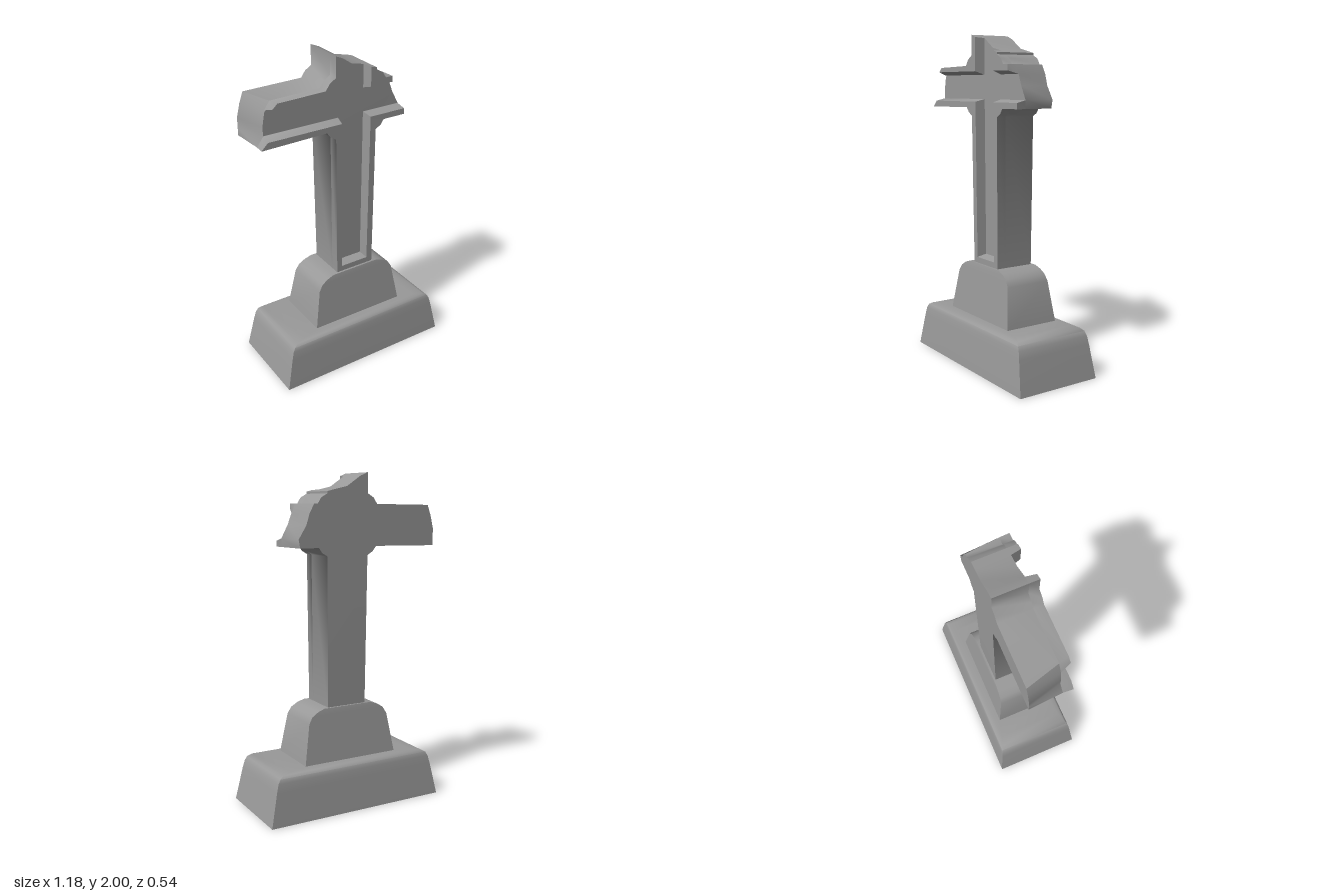
import * as THREE from 'three';
import { toCreasedNormals } from 'three/addons/utils/BufferGeometryUtils.js';

const material = new THREE.MeshStandardMaterial({ color: 0x999999 });

// Skin a stack of equal-length rings of Vector3 and close both ends.
// Rings run counter-clockwise when looked at from the last ring's end.
function loft(name, rings, flatten) {
  const n = rings[0].length, pos = [], index = [];
  rings.forEach(r => r.forEach(p => pos.push(p.x, p.y, p.z)));
  for (let k = 0; k < rings.length - 1; k++) {
    for (let i = 0; i < n; i++) {
      const a = k * n + i, b = k * n + (i + 1) % n;
      index.push(a, b, b + n, a, b + n, a + n);
    }
  }
  const cap = (ring, start, flip) => {
    for (const [a, b, c] of THREE.ShapeUtils.triangulateShape(ring.map(flatten), [])) {
      index.push(start + a, start + (flip ? c : b), start + (flip ? b : c));
    }
  };
  cap(rings[0], 0, true);
  cap(rings[rings.length - 1], (rings.length - 1) * n, false);
  const geo = new THREE.BufferGeometry();
  geo.setAttribute('position', new THREE.Float32BufferAttribute(pos, 3));
  geo.setIndex(index);
  const mesh = new THREE.Mesh(toCreasedNormals(geo, 1.05), material);
  mesh.name = name;
  return mesh;
}

// Tapered stone block from rectangular sections [y, xMin, xMax, zHalf]
function block(name, sections) {
  const rings = sections.map(([y, x0, x1, z]) =>
    [[x0, z], [x1, z], [x1, -z], [x0, -z]].map(([x, zz]) => new THREE.Vector3(x, y, zz)));
  return loft(name, rings, p => new THREE.Vector2(p.x, -p.z));
}

// Slab of the cross from outline points [x, y, dx, dy]; dx, dy move the front edge.
// The shaft gets a little thinner toward its foot.
function slab(name, points, zBack, zFront) {
  const depth = y => 0.94 + 0.06 * Math.min(1, Math.max(0, (y - 0.62) / 0.9));
  const ring = (z, t) => points.map(([x, y, dx = 0, dy = 0]) =>
    new THREE.Vector3(x + dx * t, y + dy * t, z * depth(y)));
  return loft(name, [ring(zBack, 0), ring(zFront, 1)], p => new THREE.Vector2(p.x, p.y));
}

export function createModel() {
  const model = new THREE.Group();
  model.name = 'brokenStoneCross';

  // Stepped plinth with rounded shoulders
  model.add(block('lowerBase', [
    [0, -0.56, 0.59, 0.272], [0.2, -0.518, 0.548, 0.252], [0.25, -0.505, 0.535, 0.246],
    [0.275, -0.49, 0.52, 0.24], [0.289, -0.465, 0.495, 0.228], [0.296, -0.4, 0.43, 0.205],
    [0.298, -0.3, 0.33, 0.18],
  ]));
  model.add(block('upperBase', [
    [0.29, -0.296, 0.326, 0.175], [0.54, -0.254, 0.284, 0.146], [0.58, -0.23, 0.26, 0.141],
    [0.605, -0.19, 0.22, 0.138], [0.62, -0.145, 0.175, 0.135],
  ]));

  const cross = new THREE.Group();
  cross.name = 'cross';
  model.add(cross);

  // Body behind the channel floor, with broken top and arm ends
  cross.add(slab('crossBody', [
    [-0.11, 0.6], [0.145, 0.6], [0.15, 1.52], [0.185, 1.541], [0.205, 1.57],
    [0.325, 1.57, 0.02], [0.335, 1.62, 0.012], [0.285, 1.7, 0.02], [0.265, 1.765, 0.015], [0.235, 1.82, 0.02],
    [0.212, 1.82], [0.19, 1.855], [0.15, 1.877], [0.15, 1.89], [0.1, 1.902], [0.02, 1.92], [-0.07, 1.98],
    [-0.12, 2], [-0.12, 1.88], [-0.16, 1.855], [-0.185, 1.818],
    [-0.552, 1.812, 0.055], [-0.575, 1.75, 0.045], [-0.595, 1.67, 0.05], [-0.595, 1.61, 0.053], [-0.595, 1.565, 0.012],
    [-0.18, 1.572], [-0.155, 1.541], [-0.12, 1.52],
  ], -0.13, 0.07));

  // Raised rim with slanted inner walls around the sunken channel
  cross.add(slab('lowerRim', [
    [-0.11, 0.6], [0.145, 0.6], [0.15, 1.52], [0.185, 1.541], [0.205, 1.57],
    [0.345, 1.57, 0.005], [0.347, 1.62, 0.003, -0.015], [0.1, 1.62, 0.013, -0.015],
    [0.095, 0.67, 0.012, -0.015], [-0.065, 0.67, -0.01, -0.015],
    [-0.07, 1.62, -0.01, -0.015], [-0.542, 1.62, -0.005, -0.015], [-0.583, 1.565, -0.005],
    [-0.18, 1.572], [-0.155, 1.541], [-0.12, 1.52],
  ], 0.07, 0.13));
  cross.add(slab('upperLeftRim', [
    [0.1, 1.765, 0.012, 0.02], [0.28, 1.765, -0.022, 0.02], [0.255, 1.82, 0.003], [0.212, 1.82],
    [0.19, 1.855], [0.15, 1.877], [0.15, 1.89], [0.1, 1.902, 0.012, -0.002],
  ], 0.07, 0.13));
  cross.add(slab('upperRightRim', [
    [-0.497, 1.812, 0.015], [-0.53, 1.765, 0.02, 0.02], [-0.07, 1.765, -0.012, 0.02],
    [-0.07, 1.98, -0.012, 0.005], [-0.12, 2], [-0.12, 1.88], [-0.16, 1.855], [-0.185, 1.818],
  ], 0.07, 0.13));

  return model;
}
